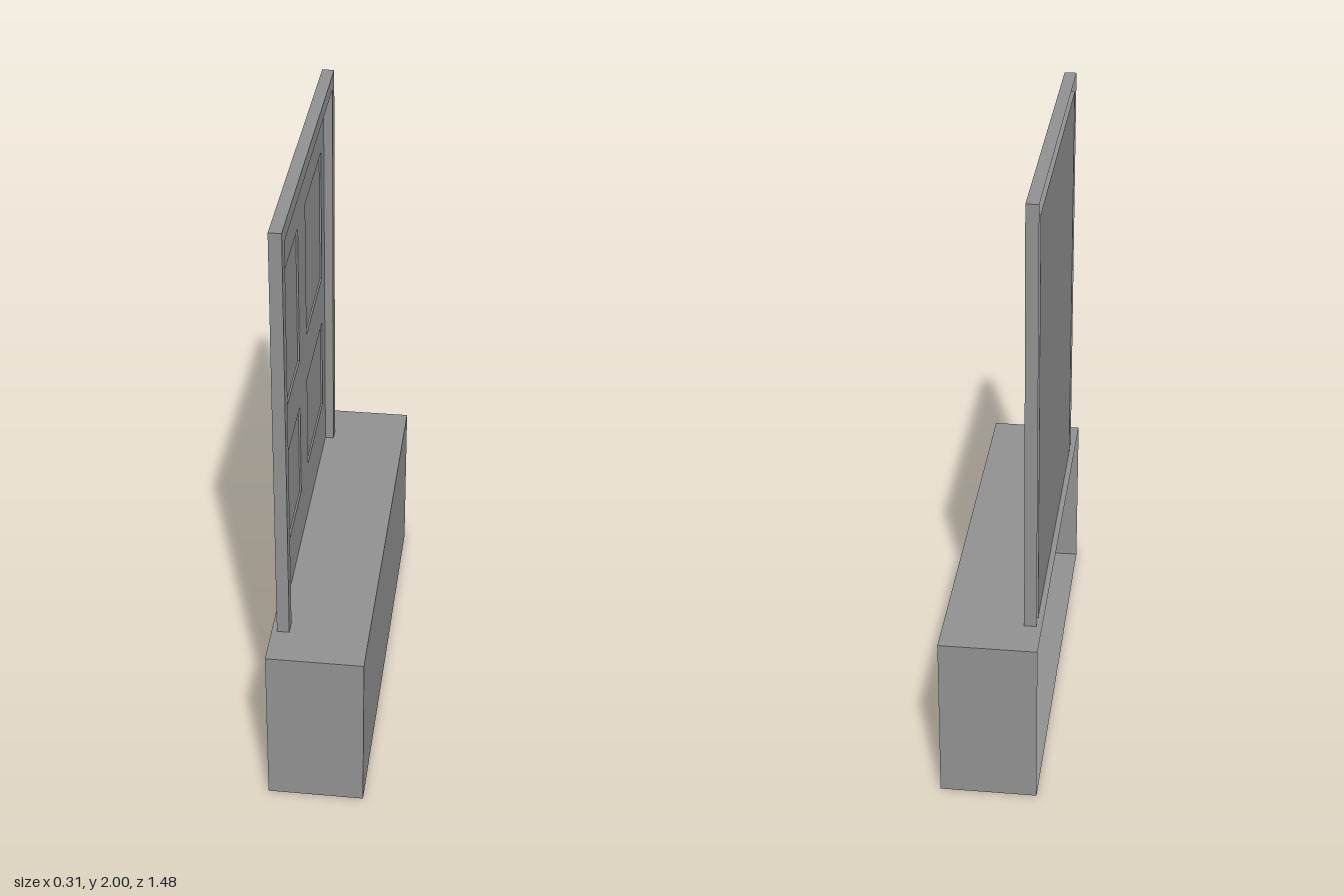
import * as THREE from 'three';

const STEP = { w: 0.315, h: 0.565, d: 1.48 };
const TOP = 2, OUTER = 0.6, INNER = 0.55, INNER_TOP = 1.95;

// Keep only the triangles that do not face the back (-x), leaving an open shell
function openBack(geometry) {
  const g = geometry.index ? geometry.toNonIndexed() : geometry;
  const p = g.attributes.position, kept = [];
  const tri = new THREE.Triangle(), n = new THREE.Vector3();
  for (let i = 0; i < p.count; i += 3) {
    tri.setFromAttributeAndIndices(p, i, i + 1, i + 2).getNormal(n);
    if (n.x > -0.9) for (const v of [tri.a, tri.b, tri.c]) kept.push(v.x, v.y, v.z);
  }
  const out = new THREE.BufferGeometry();
  out.setAttribute('position', new THREE.Float32BufferAttribute(kept, 3));
  out.computeVertexNormals();
  return out;
}

// Extrude an upright outline along x, from x0 to x1
function extrudeX(shape, x0, x1) {
  return new THREE.ExtrudeGeometry(shape, { depth: x1 - x0, bevelEnabled: false })
    .rotateY(Math.PI / 2).translate(x0, 0, 0);
}

const outline = (pts, Type = THREE.Shape) => new Type(pts.map(([x, y]) => new THREE.Vector2(x, y)));
const rect = (x0, y0, x1, y1, Type) => outline([[x0, y0], [x1, y0], [x1, y1], [x0, y1]], Type);

export function createModel() {
  const model = new THREE.Group();
  const grey = new THREE.MeshStandardMaterial({ color: 0x909090, side: THREE.DoubleSide });
  grey.name = 'grey';
  const add = (name, geometry) => {
    const mesh = new THREE.Mesh(geometry, grey);
    mesh.name = name;
    model.add(mesh);
  };

  // Hollow step, open at the back
  add('step', openBack(new THREE.BoxGeometry(STEP.w, STEP.h, STEP.d).translate(0, STEP.h / 2, 0)));

  // Door frame: two jambs and a header as one channel, open at the back
  const frame = outline([
    [-OUTER, STEP.h], [-INNER, STEP.h], [-INNER, INNER_TOP], [INNER, INNER_TOP],
    [INNER, STEP.h], [OUTER, STEP.h], [OUTER, TOP], [-OUTER, TOP],
  ]);
  add('doorFrame', openBack(extrudeX(frame, -0.14, -0.1)));

  // Door face with four shallow recessed panels
  const face = rect(-INNER, STEP.h, INNER, INNER_TOP);
  for (const [y0, y1] of [[0.76, 1.1], [1.275, 1.755]]) {
    for (const x0 of [-0.475, 0.085]) face.holes.push(rect(x0, y0, x0 + 0.39, y1, THREE.Path));
  }
  add('doorFace', extrudeX(face, -0.136, -0.13));

  // Flat back of the door, which also forms the floor of the recesses
  add('doorBack', extrudeX(rect(-INNER, STEP.h, INNER, INNER_TOP), -0.139, -0.136));

  return model;
}
